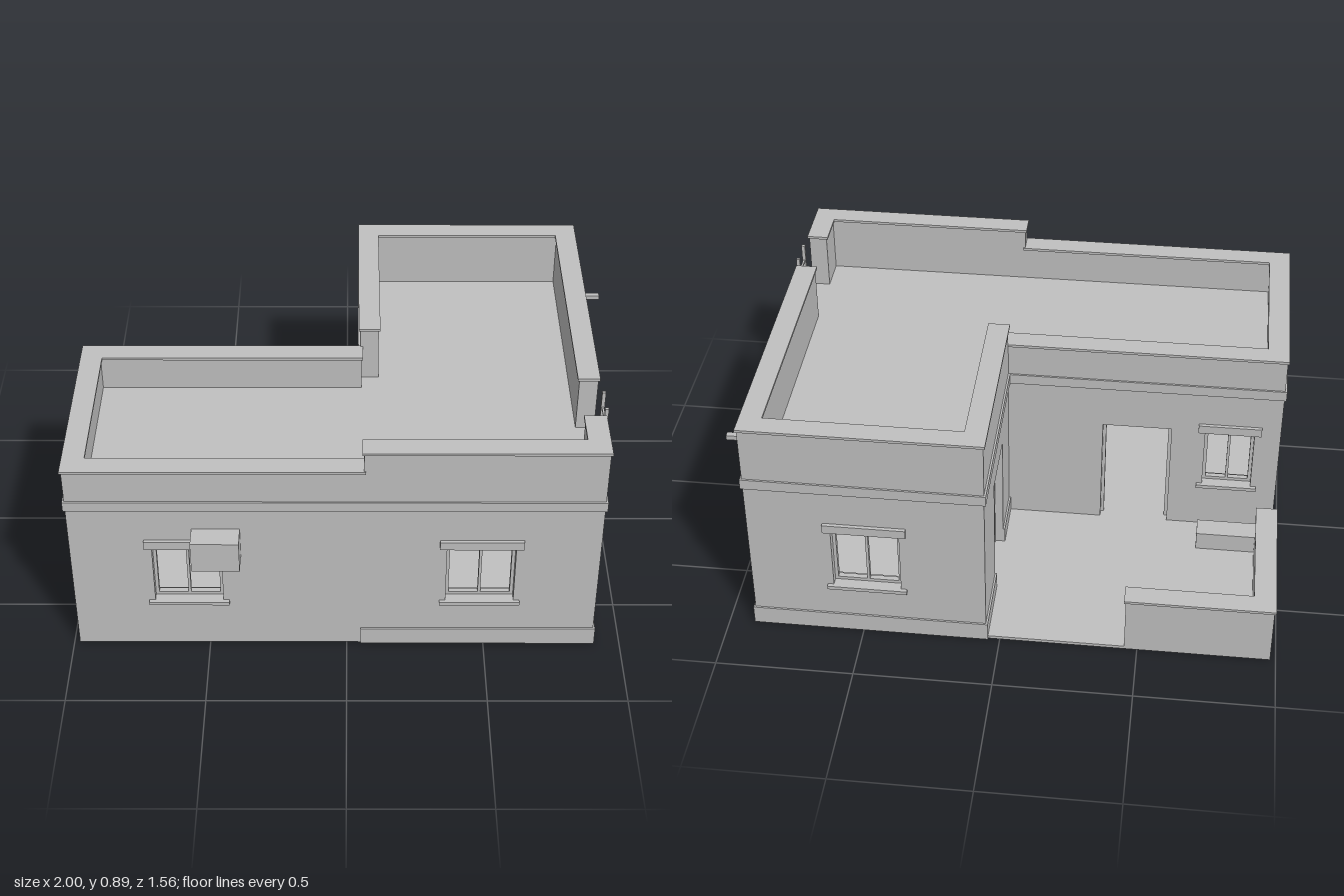
import * as THREE from 'three';

export function createModel() {
  const house = new THREE.Group();
  house.name = 'house';
  const plaster = new THREE.MeshStandardMaterial({ color: 0xc0c0c0 });
  plaster.name = 'plaster grey';

  const L = -0.98, R = 0.9, F = 0.7, B = -0.765; // outer wall planes
  const MX = 0.05, MZ = -0.04;                   // courtyard wall planes
  const T = 0.068, ROOF = 0.665, LOW = 0.805, HIGH = 0.887;

  // Box from its minimum and maximum corners
  function box(name, x0, x1, y0, y1, z0, z1, parent = house) {
    const m = new THREE.Mesh(new THREE.BoxGeometry(x1 - x0, y1 - y0, z1 - z0), plaster);
    m.position.set((x0 + x1) / 2, (y0 + y1) / 2, (z0 + z1) / 2);
    m.name = name;
    parent.add(m);
    return m;
  }

  // Wall from a to b along x or z, with openings [from, to, bottom, top]
  function wall(name, axis, plane, a, b, openings) {
    const s = new THREE.Shape();
    s.moveTo(a, 0).lineTo(b, 0).lineTo(b, ROOF).lineTo(a, ROOF).closePath();
    for (const [u0, u1, v0, v1] of openings) {
      const h = new THREE.Path();
      h.moveTo(u0, v0).lineTo(u0, v1).lineTo(u1, v1).lineTo(u1, v0).closePath();
      s.holes.push(h);
    }
    const m = new THREE.Mesh(new THREE.ExtrudeGeometry(s, { depth: T, bevelEnabled: false }), plaster);
    if (axis === 'x') m.position.z = plane;
    else { m.rotation.y = -Math.PI / 2; m.position.x = plane + T; }
    m.name = name;
    house.add(m);
  }

  const win = (c, w = 0.245) => [c - w / 2, c + w / 2, 0.21, 0.46];
  wall('frontWall', 'x', F - T, L, R, [win(-0.567), win(0.478)]);
  wall('rightWall', 'z', R - T, B + T, F - T, [win(0.344), win(-0.306)]);
  wall('backWall', 'x', B, MX, R, [win(0.478)]);
  wall('leftWall', 'z', L, MZ + T, F - T, [win(0.355)]);
  wall('courtyardBackWall', 'x', MZ, L, MX + T, [win(-0.79, 0.185), [-0.57, -0.31, 0.012, 0.46]]);
  wall('courtyardSideWall', 'z', MX, B + T, MZ, [[-0.49, -0.235, 0.012, 0.49]]);

  // Floor slab and the two roof slabs
  box('floor', L, R, 0, 0.012, B, F);
  box('roofFront', L + T, R - T, 0.625, ROOF, MZ + T, F - T);
  box('roofWing', MX + T, R - T, 0.625, ROOF, B + T, MZ + T);

  // Parapets with thin overhanging copings
  function parapet(name, x0, x1, z0, z1, top) {
    const o = 0.006;
    box(name, x0, x1, ROOF, top - 0.01, z0, z1);
    box(name + 'Coping', x0 - o, x1 + o, top - 0.01, top, z0 - o, z1 + o);
  }
  parapet('frontLowParapet', L, 0.06, F - T, F, LOW);
  parapet('leftParapet', L, L + T, MZ + T, F - T, LOW);
  parapet('courtyardBackParapet', L, MX + 0.004, MZ, MZ + T, LOW);
  parapet('frontHighParapet', 0.06, R, F - T, F, HIGH);
  parapet('rightFrontParapet', R - T, R, 0.495, F - T, HIGH);
  parapet('rightParapet', R - T, R, B + T, 0.27, HIGH);
  parapet('backParapet', MX, R, B, B + T, HIGH);
  parapet('courtyardSideParapet', MX, MX + T, B + T, MZ, HIGH);

  // Raised strips on the outside faces: string course and plinth
  const p = 0.007;
  function strip(name, y0, y1, x0, x1, z0, z1) { box(name, x0, x1, y0, y1, z0, z1); }
  const course = ['stringCourse', 0.63, 0.67];
  strip(...course, L - p, R + p, F, F + p);
  strip(...course, R, R + p, B - p, F);
  strip(...course, MX - p, R, B - p, B);
  strip(...course, MX - p, MX, B, MZ);
  strip(...course, L - p, MX - p, MZ - p, MZ);
  strip(...course, L - p, L, MZ, F);
  const plinth = ['plinth', 0, 0.072];
  strip(...plinth, MX, R + p, F, F + p);
  strip(...plinth, R, R + p, B - p, F);
  strip(...plinth, MX - p, R, B - p, B);
  strip(...plinth, MX - p, MX, B, -0.49);
  strip(...plinth, MX - p, MX, -0.235, MZ);

  // Frame bars inside an opening, in a local frame facing +z
  function frame(g, w, y0, y1, z) {
    const b = 0.012, h = w / 2, d = z + 0.02;
    box('frameLeft', h - b, h, y0, y1, z, d, g);
    box('frameRight', -h, -h + b, y0, y1, z, d, g);
    box('frameTop', -h + b, h - b, y1 - b, y1, z, d, g);
  }
  function place(name, x, z, turn) {
    const g = new THREE.Group();
    g.name = name;
    g.position.set(x, 0, z);
    g.rotation.y = turn * Math.PI / 2;
    house.add(g);
    return g;
  }

  // Windows: lintel, sill, frame and centre mullion
  function windowUnit(name, x, z, turn, w = 0.245) {
    const g = place(name, x, z, turn), h = w / 2;
    box('lintel', -h - 0.026, h + 0.026, 0.46, 0.494, 0, 0.014, g);
    box('sill', -h - 0.022, h + 0.022, 0.196, 0.21, -0.03, 0.015, g);
    frame(g, w, 0.21, 0.46, -0.05);
    box('frameBottom', -h + 0.012, h - 0.012, 0.21, 0.222, -0.05, -0.03, g);
    box('mullion', -0.005, 0.005, 0.222, 0.448, -0.05, -0.03, g);
  }
  windowUnit('frontLeftWindow', 0.478, F, 0);
  windowUnit('frontRightWindow', -0.567, F, 0);
  windowUnit('rightFrontWindow', R, 0.344, 1);
  windowUnit('rightBackWindow', R, -0.306, 1);
  windowUnit('backWindow', 0.478, B, 2);
  windowUnit('leftWindow', L, 0.355, 3);
  windowUnit('courtyardWindow', -0.79, MZ, 2, 0.185);

  // Door frames
  frame(place('courtyardBackDoor', -0.44, MZ, 2), 0.26, 0.012, 0.46, -0.05);
  frame(place('courtyardSideDoor', MX, -0.3625, 3), 0.255, 0.012, 0.49, -0.05);

  // Low courtyard walls with caps, and a step block
  box('yardBackWall', L, -0.453, 0.012, 0.225, B, -0.697);
  box('yardBackWallCap', L - 0.006, -0.447, 0.225, 0.235, B - 0.006, -0.691);
  box('yardLeftWall', L, L + T, 0.012, 0.225, -0.697, -0.2);
  box('yardLeftWallCap', L - 0.006, L + T + 0.006, 0.225, 0.235, -0.691, -0.197);
  box('yardStep', L, -0.69, 0.012, 0.085, -0.195, -0.112);

  // Ladder on the right wall
  const ladder = place('ladder', R, 0.388, 1);
  for (const s of [-1, 1]) box('ladderRail', s * 0.049 - 0.006, s * 0.049 + 0.006, 0, 0.877, 0.006, 0.019, ladder);
  for (let i = 0; i < 13; i++) {
    const y = 0.06 + i * 0.0625;
    box('ladderRung', -0.043, 0.043, y - 0.004, y + 0.004, 0.009, 0.016, ladder);
  }

  // Air conditioner on its bracket, roof spout, low vent
  box('airConditioner', -0.545, -0.375, 0.42, 0.545, F, 0.783);
  box('airConditionerBracket', -0.54, -0.38, 0.404, 0.412, F, 0.76);
  box('roofSpout', R - 0.01, 1.0, 0.68, 0.698, -0.565, -0.543);
  box('vent', L - 0.007, L, 0.016, 0.048, 0.33, 0.52);

  return house;
}
